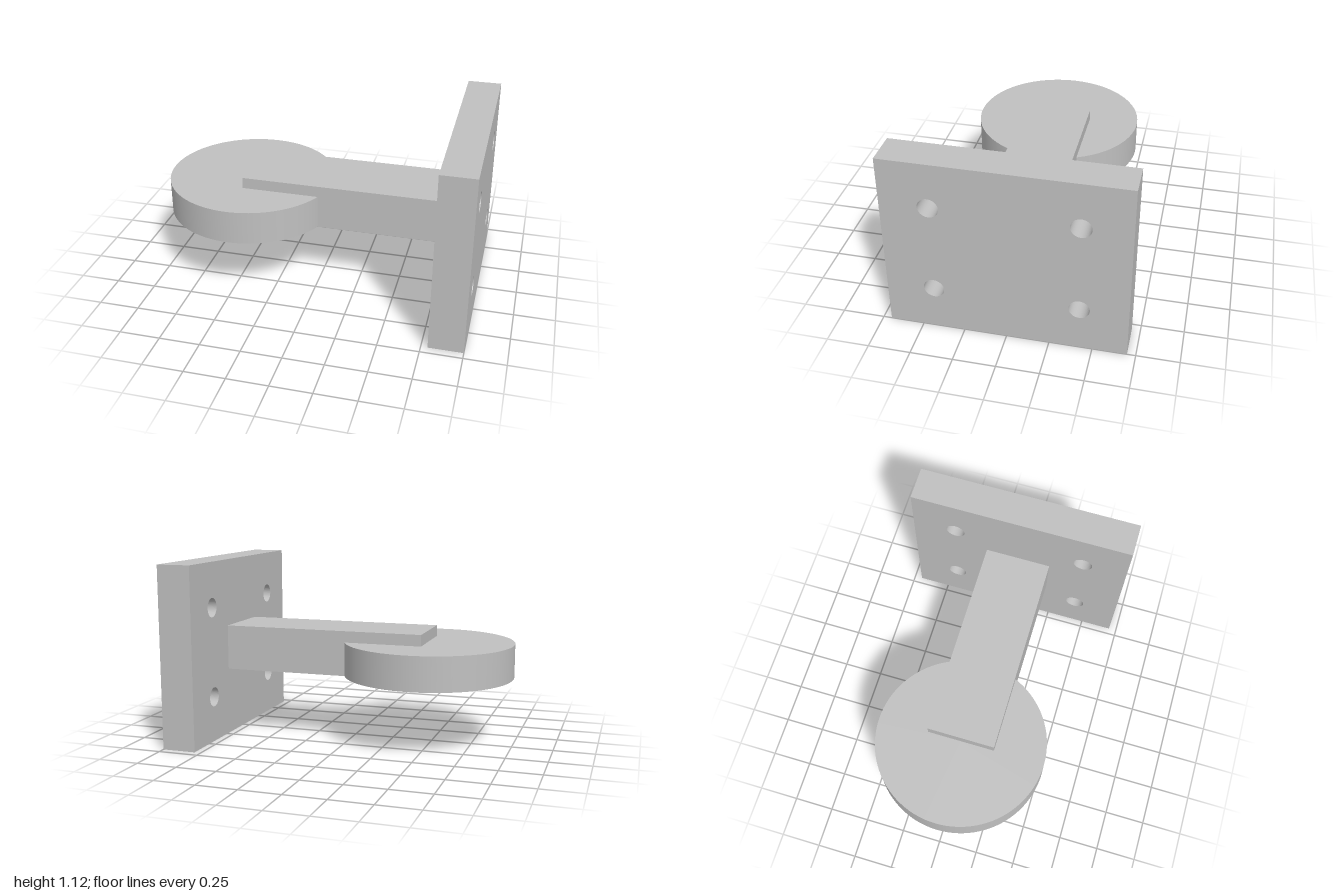
import * as THREE from 'three';

export function createModel() {
  const group = new THREE.Group();
  const grey = new THREE.MeshStandardMaterial({ color: 0xc0c0c0 });
  grey.name = 'light grey';

  const add = (name, geometry, x, y, z = 0) => {
    const mesh = new THREE.Mesh(geometry, grey);
    mesh.name = name;
    mesh.position.set(x, y, z);
    group.add(mesh);
  };

  // Upright mounting plate with four bolt holes, drawn in the z-y plane
  const outline = new THREE.Shape();
  outline.moveTo(-0.7, 0).lineTo(0.7, 0).lineTo(0.7, 1.12).lineTo(-0.7, 1.12).closePath();
  for (const z of [-0.42, 0.42]) {
    for (const y of [0.28, 0.84]) {
      outline.holes.push(new THREE.Path().absarc(z, y, 0.06, 0, Math.PI * 2, true));
    }
  }
  const plate = new THREE.ExtrudeGeometry(outline, { depth: 0.21, bevelEnabled: false, curveSegments: 32 });
  plate.rotateY(Math.PI / 2);
  add('mountingPlate', plate, 0.79, 0);

  // Arm from the plate to the centre of the disc, standing proud of the disc top
  add('arm', new THREE.BoxGeometry(1.265, 0.28, 0.42), 0.1575, 0.56);

  // Round support disc, flush with the underside of the arm
  add('disc', new THREE.CylinderGeometry(0.525, 0.525, 0.21, 96), -0.475, 0.525);

  return group;
}
